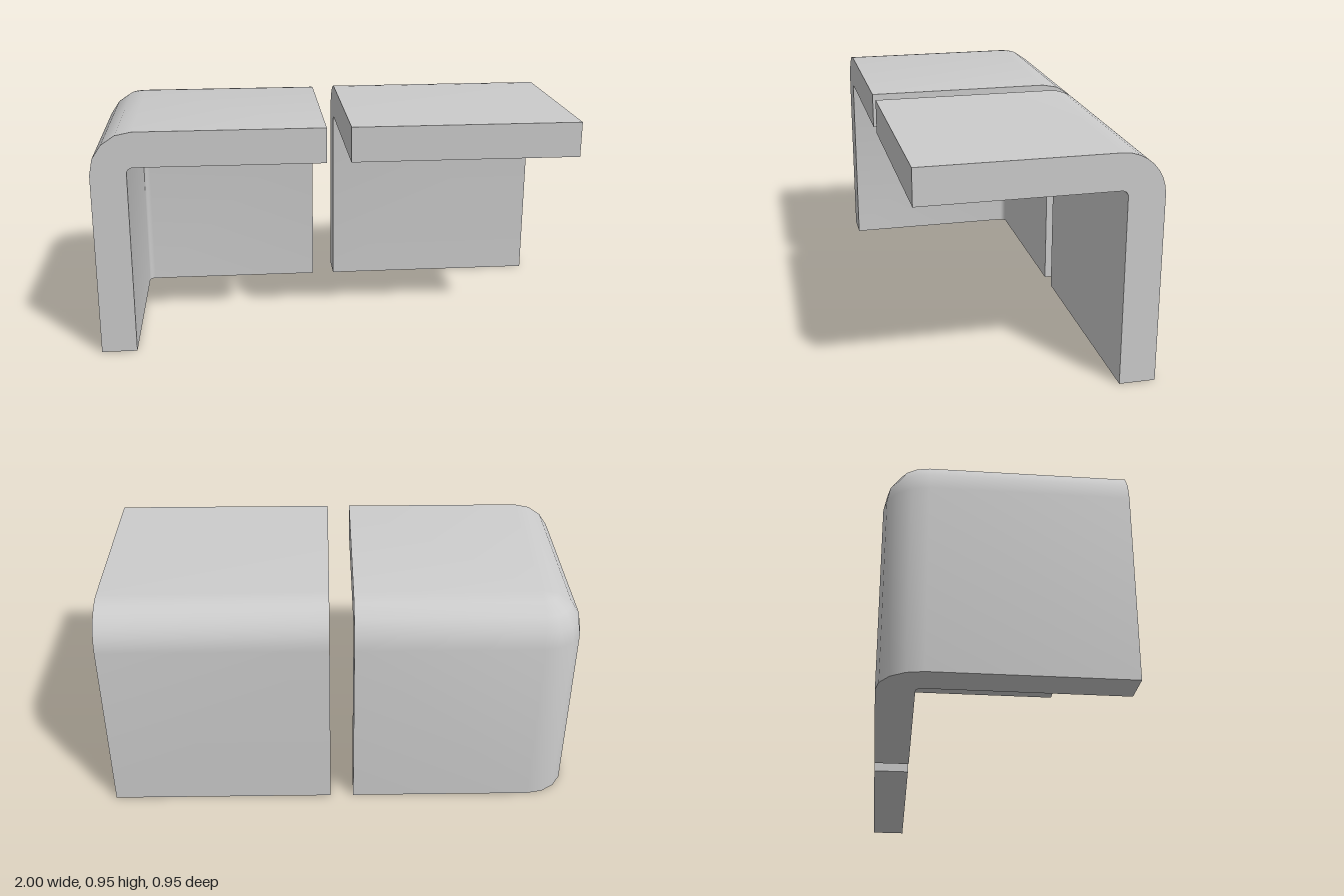
import * as THREE from 'three';
import { toCreasedNormals } from 'three/addons/utils/BufferGeometryUtils.js';

const HEIGHT = 0.95, HALF_DEPTH = 0.475, OUTER_X = 1, GAP_X = 0.05;
const WALL = 0.147, OUTER_R = 0.175, INNER_R = 0.025, SEG = 4;

// Rings of one skin of the corner shell: two walls and a top with rounded edges.
// Each ring runs along the side wall, around the corner and along the back wall.
function skinRings(offset, r) {
  const x0 = -OUTER_X + offset, z0 = -HALF_DEPTH + offset, top = HEIGHT - offset;
  const cx = x0 + r, cz = z0 + r;
  const ring = (y, radius) => {
    const pts = [new THREE.Vector3(cx - radius, y, HALF_DEPTH)];
    for (let i = 0; i <= SEG; i++) {
      const a = (i / SEG) * Math.PI / 2;
      pts.push(new THREE.Vector3(cx - radius * Math.cos(a), y, cz - radius * Math.sin(a)));
    }
    pts.push(new THREE.Vector3(-GAP_X, y, cz - radius));
    return pts;
  };
  const rings = [ring(0, r)];
  for (let j = 0; j <= SEG; j++) {
    const t = (j / SEG) * Math.PI / 2;
    rings.push(ring(top - r + r * Math.sin(t), r * Math.cos(t)));
  }
  // the flat top fans out to its free corner
  rings.push(rings[0].map(() => new THREE.Vector3(-GAP_X, top, HALF_DEPTH)));
  return rings;
}

function cornerGeometry() {
  const outer = skinRings(0, OUTER_R), inner = skinRings(WALL, INNER_R);
  const positions = [];
  const tri = (a, b, c) => {
    const area = b.clone().sub(a).cross(c.clone().sub(a)).length();
    if (area > 1e-9) for (const p of [a, b, c]) positions.push(p.x, p.y, p.z);
  };
  const quad = (a, b, c, d) => { tri(a, b, c); tri(a, c, d); };
  const rows = outer.length, cols = outer[0].length, last = cols - 1;

  // outer and inner skins
  for (let j = 0; j < rows - 1; j++) {
    for (let i = 0; i < last; i++) {
      quad(outer[j][i], outer[j + 1][i], outer[j + 1][i + 1], outer[j][i + 1]);
      quad(inner[j][i], inner[j][i + 1], inner[j + 1][i + 1], inner[j + 1][i]);
    }
  }
  // bottom rim
  for (let i = 0; i < last; i++) quad(outer[0][i], outer[0][i + 1], inner[0][i + 1], inner[0][i]);
  // front rim and the rim facing the gap
  for (let j = 0; j < rows - 1; j++) {
    quad(outer[j][0], inner[j][0], inner[j + 1][0], outer[j + 1][0]);
    quad(outer[j][last], outer[j + 1][last], inner[j + 1][last], inner[j][last]);
  }
  const geometry = new THREE.BufferGeometry();
  geometry.setAttribute('position', new THREE.Float32BufferAttribute(positions, 3));
  return toCreasedNormals(geometry, 0.6);
}

// Straight piece: L profile of top and back wall, extruded along x.
function straightGeometry() {
  const front = -HALF_DEPTH, back = HALF_DEPTH, top = HEIGHT;
  const innerBack = back - WALL, innerTop = top - WALL;
  const s = new THREE.Shape();
  s.moveTo(back, 0);
  s.lineTo(back, top - OUTER_R);
  s.absarc(back - OUTER_R, top - OUTER_R, OUTER_R, 0, Math.PI / 2, false);
  s.lineTo(front, top);
  s.lineTo(front, innerTop);
  s.lineTo(innerBack - INNER_R, innerTop);
  s.absarc(innerBack - INNER_R, innerTop - INNER_R, INNER_R, Math.PI / 2, 0, true);
  s.lineTo(innerBack, 0);
  s.closePath();
  const geometry = new THREE.ExtrudeGeometry(s, {
    depth: OUTER_X - GAP_X, bevelEnabled: false, curveSegments: SEG,
  });
  geometry.rotateY(Math.PI / 2).translate(GAP_X, 0, 0);
  return toCreasedNormals(geometry, 0.6);
}

export function createModel() {
  const group = new THREE.Group();
  group.name = 'edgePieces';
  const material = new THREE.MeshStandardMaterial({ color: 0xcccccc });
  const add = (name, geometry) => {
    const mesh = new THREE.Mesh(geometry, material);
    mesh.name = name;
    group.add(mesh);
  };
  add('cornerPiece', cornerGeometry());
  add('straightPiece', straightGeometry());
  return group;
}
